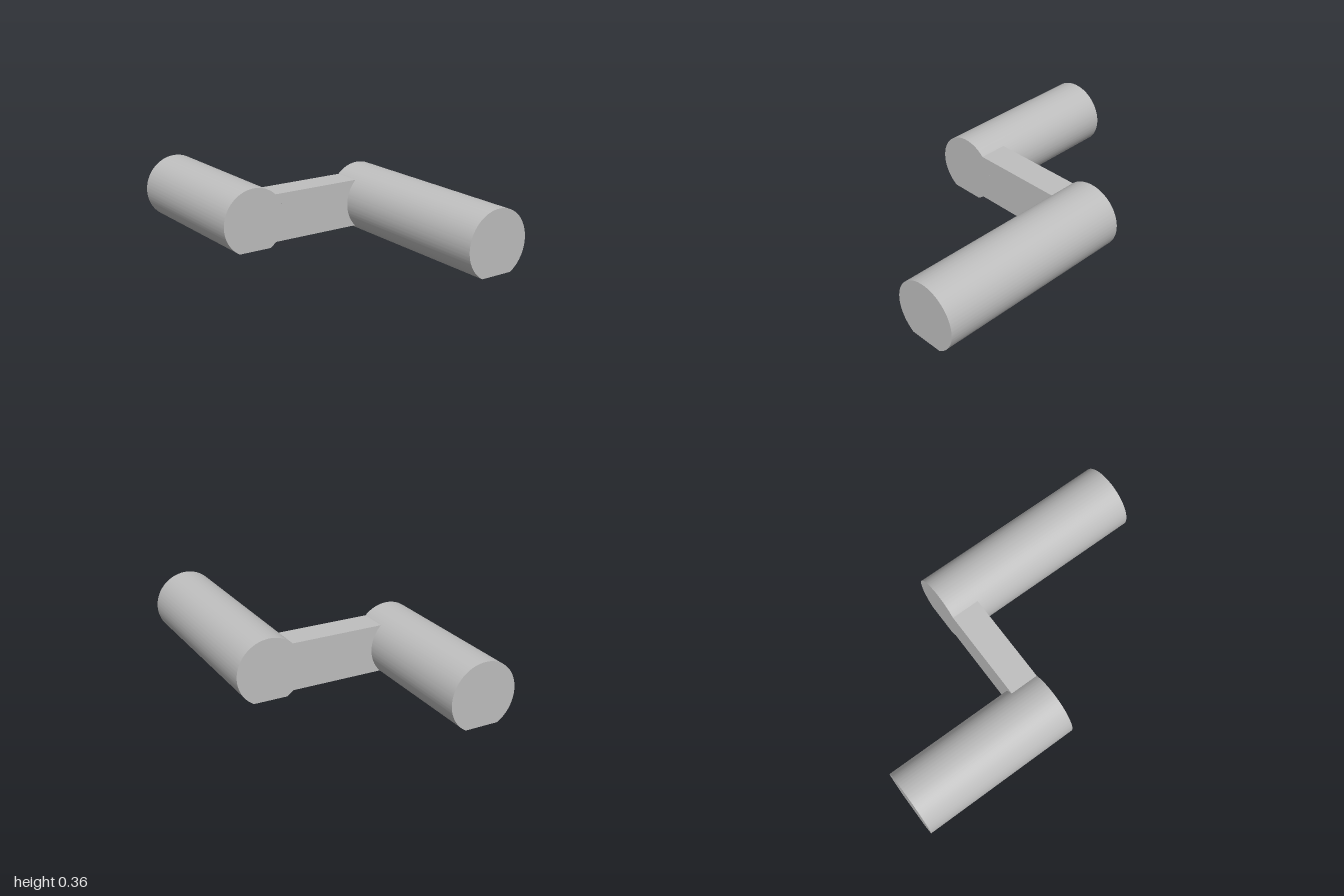
import * as THREE from 'three';
import { toCreasedNormals } from 'three/addons/utils/BufferGeometryUtils.js';

const R = 0.195;       // bar radius
const CX = 0.413;      // bar axis offset from the middle
const CY = 0.168;      // bar axis height
const WEB_HALF = 0.139; // half height of the connecting web
const WEB_BACK = -0.217, WEB_FRONT = -0.046;

// Extrude a shape between two z positions, smooth along curves and sharp at edges
function extrudeBetween(shape, z0, z1) {
  const geometry = new THREE.ExtrudeGeometry(shape, { depth: z1 - z0, bevelEnabled: false, curveSegments: 72 });
  geometry.translate(0, 0, z0);
  return toCreasedNormals(geometry, Math.PI / 9);
}

// Round section with a flat cut along the bottom
function barShape(x) {
  const a = Math.asin(CY / R);
  const shape = new THREE.Shape();
  shape.absarc(x, CY, R, -a, Math.PI + a, false);
  shape.closePath();
  return shape;
}

// Web section whose ends hug the two bars
function webShape() {
  const a = Math.asin(WEB_HALF / R);
  const shape = new THREE.Shape();
  shape.absarc(CX, CY, R, Math.PI + a, Math.PI - a, true);
  shape.absarc(-CX, CY, R, a, -a, true);
  shape.closePath();
  return shape;
}

export function createModel() {
  const group = new THREE.Group();
  group.name = 'crankHandle';
  const grey = new THREE.MeshStandardMaterial({ color: 0xbfbfbf });
  grey.name = 'grey';

  const add = (name, shape, z0, z1) => {
    const mesh = new THREE.Mesh(extrudeBetween(shape, z0, z1), grey);
    mesh.name = name;
    group.add(mesh);
  };

  add('rearBar', barShape(-CX), -1, WEB_FRONT);
  add('frontBar', barShape(CX), WEB_BACK, 1);
  add('connectingWeb', webShape(), WEB_BACK, WEB_FRONT);
  return group;
}
